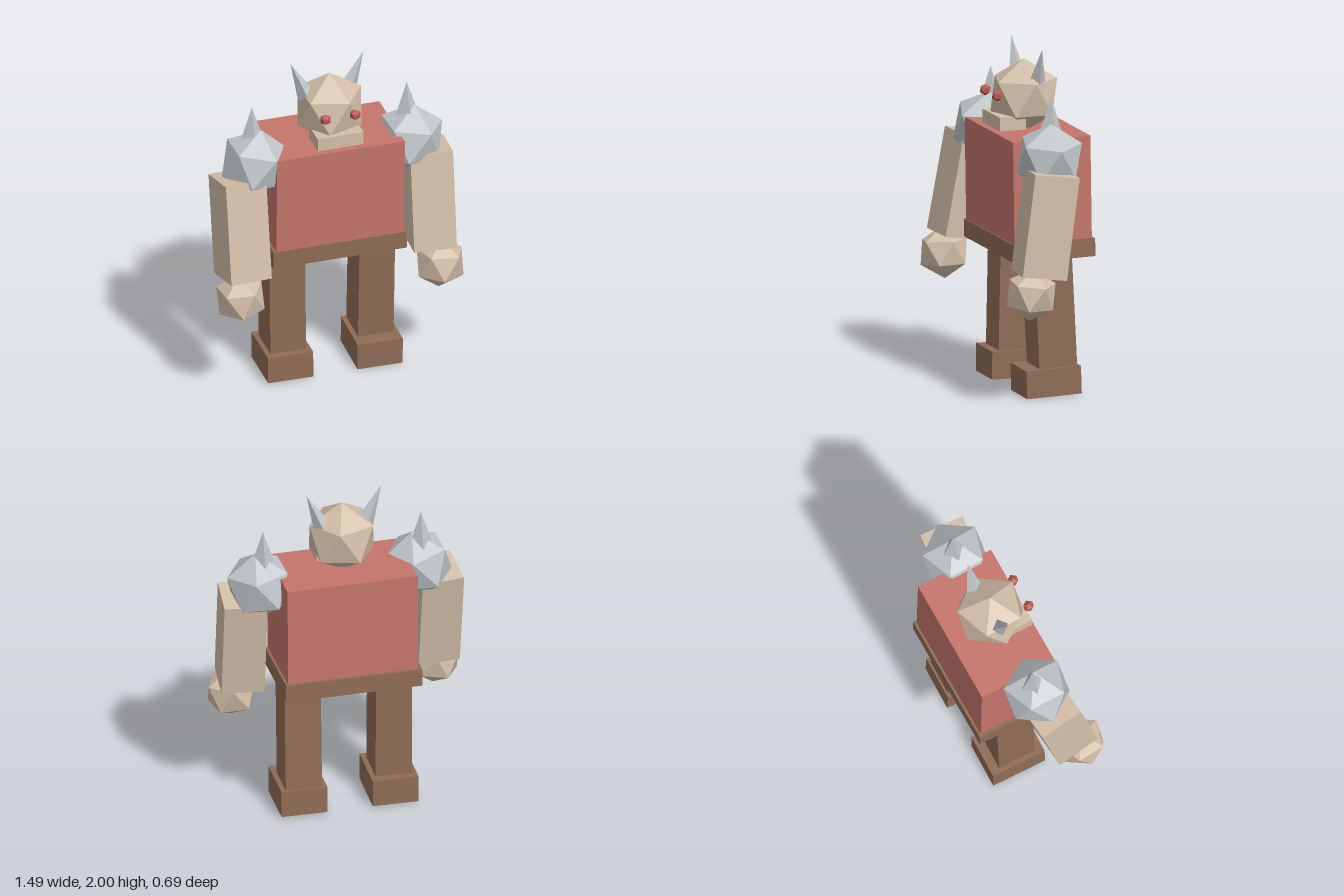
import * as THREE from 'three';
import { ConvexGeometry } from 'three/addons/geometries/ConvexGeometry.js';

const material = (name, color) => {
  const m = new THREE.MeshStandardMaterial({ color, flatShading: true });
  m.name = name;
  return m;
};

// Twenty-sided ball with one corner at the top and one at the bottom
function ball(r) {
  const points = [new THREE.Vector3(0, r, 0), new THREE.Vector3(0, -r, 0)];
  for (let i = 0; i < 5; i++) {
    const a = (i * Math.PI * 2) / 5, ring = 0.8944 * r, h = 0.4472 * r;
    points.push(new THREE.Vector3(ring * Math.cos(a), h, ring * Math.sin(a)));
    points.push(new THREE.Vector3(-ring * Math.cos(a), -h, -ring * Math.sin(a)));
  }
  return new ConvexGeometry(points);
}

const box = (w, h, d) => new THREE.BoxGeometry(w, h, d);

export function createModel() {
  const model = new THREE.Group();
  model.name = 'golem';

  const red = material('clay red', 0xc5756b);
  const brown = material('brown', 0x8f6c55);
  const tan = material('tan', 0xd3bfa9);
  const steel = material('steel grey', 0xc0c6ca);
  const eyeRed = material('eye red', 0xb9594f);

  function add(name, geometry, mat, position, rotation = [0, 0, 0], parent = model) {
    const mesh = new THREE.Mesh(geometry, mat);
    mesh.name = name;
    mesh.position.set(...position);
    mesh.rotation.set(...rotation);
    parent.add(mesh);
    return mesh;
  }

  // Four-sided spike placed by its tip, leaning sideways and back
  function spike(name, r, h, tip, leanX, leanZ) {
    const geometry = new THREE.ConeGeometry(r, h, 4).translate(0, -h / 2, 0);
    add(name, geometry, steel, tip, [leanX, 0, leanZ]);
  }

  // Trunk
  add('torso', box(0.77, 0.6, 0.475), red, [-0.003, 1.21, -0.088], [0.015, 0.02, 0]);
  add('belt', box(0.805, 0.105, 0.495), brown, [-0.006, 0.857, -0.098], [0.015, 0.02, 0]);

  // Head, jaw, eyes and horns
  add('head', ball(0.215), tan, [-0.003, 1.695, -0.06], [0, 0.05, 0]);
  add('jaw', box(0.275, 0.08, 0.16), tan, [0.002, 1.563, 0.06], [0, 0.03, 0]);
  add('rightEye', ball(0.034), eyeRed, [-0.087, 1.724, 0.144]);
  add('leftEye', ball(0.034), eyeRed, [0.093, 1.724, 0.136]);
  spike('rightHorn', 0.055, 0.25, [-0.233, 2, -0.068], 0.02, 0.4);
  spike('leftHorn', 0.055, 0.25, [0.212, 2, -0.095], 0, -0.4);

  // Shoulder balls with upright spikes
  add('rightShoulder', ball(0.207), steel, [-0.467, 1.43, 0], [0, 0.03, -0.18]);
  add('leftShoulder', ball(0.205), steel, [0.476, 1.425, -0.042], [0, 0.05, -0.12]);
  spike('rightShoulderSpike', 0.092, 0.28, [-0.476, 1.775, -0.03], 0, 0);
  spike('leftShoulderSpike', 0.092, 0.28, [0.46, 1.775, -0.06], -0.02, 0);

  // Arms swung slightly forward, with faceted hands
  const arms = [
    { side: 'right', at: [-0.58, 1.07, 0.083], turn: [-0.185, 0.1, 0], hand: [-0.615, 0.672, 0.205], r: 0.153 },
    { side: 'left', at: [0.57, 1.06, 0.015], turn: [-0.13, -0.08, 0], hand: [0.607, 0.66, 0.115], r: 0.155 },
  ];
  for (const { side, at, turn, hand, r } of arms) {
    add(side + 'Arm', box(0.25, 0.6, 0.265), tan, at, turn);
    const spin = side === 'right' ? [0, 0.1, 0.1] : [-0.05, 0.25, -0.08];
    add(side + 'Hand', ball(r), tan, hand, spin);
  }

  // Legs with block feet, in a slight stride
  const legs = [
    { side: 'right', x: -0.277, footZ: -0.085, legZ: -0.09, swing: -0.02 },
    { side: 'left', x: 0.263, footZ: -0.1, legZ: -0.12, swing: 0.05 },
  ];
  for (const { side, x, footZ, legZ, swing } of legs) {
    add(side + 'Leg', box(0.213, 0.66, 0.23), brown, [x, 0.49, legZ], [swing, 0, 0]);
    add(side + 'Foot', box(0.27, 0.162, 0.333), brown, [x, 0.087, footZ], [swing * 0.6, 0, 0]);
  }

  return model;
}
